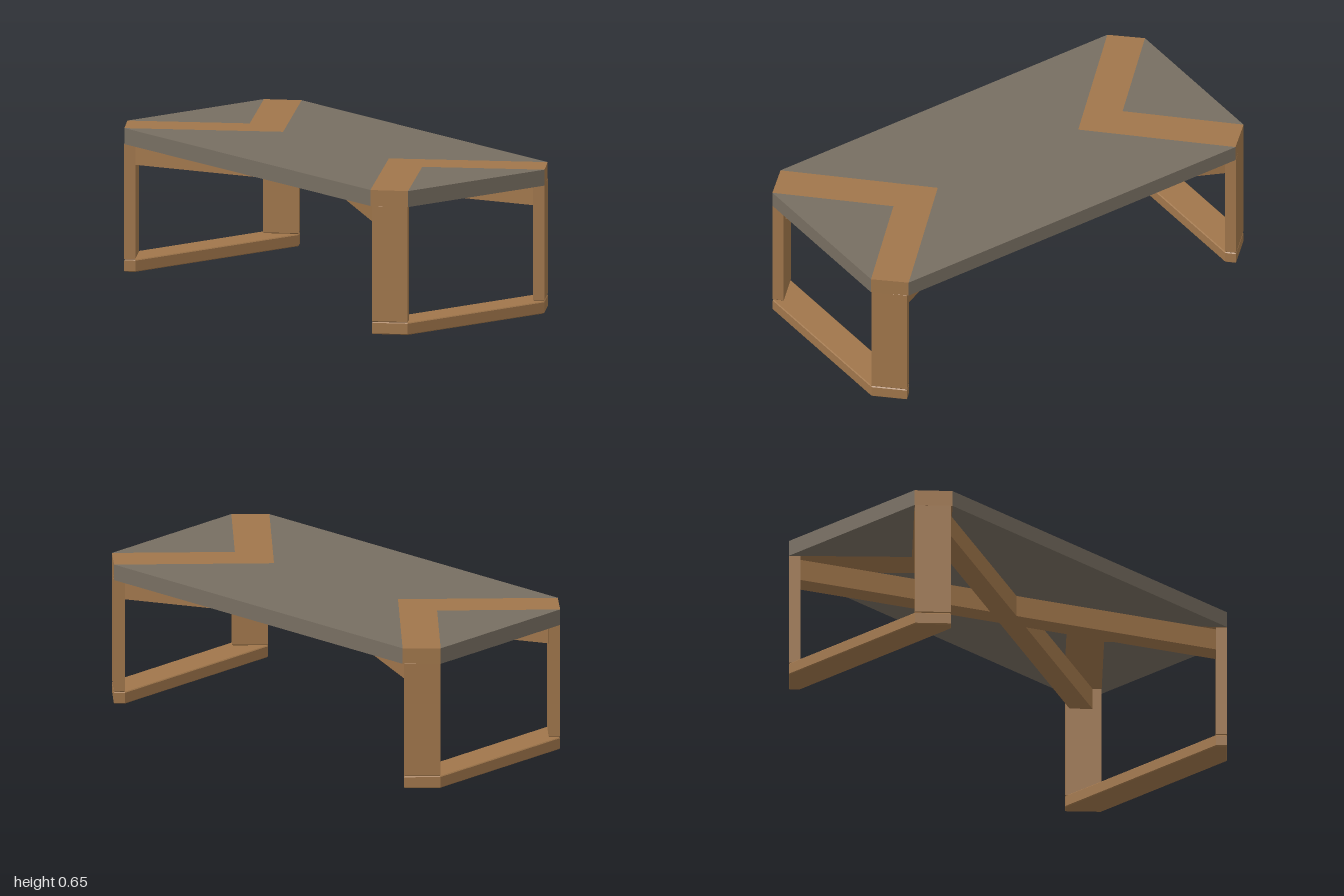
import * as THREE from 'three';

const wood = new THREE.MeshStandardMaterial({ color: 0xa0764b });
wood.name = 'oak wood';
const stone = new THREE.MeshStandardMaterial({ color: 0x776e61 });
stone.name = 'grey stone';

// Upright prism from a plan outline of [x, z] points, between two heights.
function prism(name, outline, y0, y1, material, bevel = 0) {
  const shape = new THREE.Shape(outline.map(([x, z]) => new THREE.Vector2(x, z)));
  const geometry = new THREE.ExtrudeGeometry(shape, {
    depth: y1 - y0 - 2 * bevel,
    bevelEnabled: bevel > 0,
    bevelSize: bevel, bevelThickness: bevel, bevelOffset: -bevel, bevelSegments: 1,
  });
  geometry.rotateX(Math.PI / 2).translate(0, y1 - bevel, 0);
  const mesh = new THREE.Mesh(geometry, material);
  mesh.name = name;
  return mesh;
}

export function createModel() {
  const table = new THREE.Group();
  table.name = 'table';
  const TOP = 0.65, UNDER = 0.578, FOOT = 0.055;

  // Main panel, notched at each end by the inlays
  table.add(prism('mainPanel', [
    [0.5, -0.877], [0.5, 0.877], [0, 0.377], [-0.5, 0.877], [-0.5, -0.877], [0, -0.377],
  ], UNDER, TOP, stone));

  for (const s of [1, -1]) {
    const end = s > 0 ? 'front' : 'back';

    // V-shaped inlay and the triangular panel outside it
    table.add(prism(end + 'Inlay', [
      [0.5, 0.877 * s], [0.385, s], [0, 0.615 * s], [-0.385, s], [-0.5, 0.877 * s], [0, 0.377 * s],
    ], UNDER, TOP, wood));
    table.add(prism(end + 'Panel', [[0.385, s], [-0.385, s], [0, 0.615 * s]], UNDER, TOP, stone));

    // Floor rail with clipped corners
    table.add(prism(end + 'FloorRail', [
      [0.385, 0.998 * s], [0.496, 0.883 * s], [0.461, 0.848 * s],
      [-0.461, 0.848 * s], [-0.496, 0.883 * s], [-0.385, 0.998 * s],
    ], 0, FOOT, wood, 0.004));

    // Diagonal board legs
    for (const m of [1, -1]) {
      table.add(prism(end + (m > 0 ? 'Left' : 'Right') + 'Leg', [
        [0.385 * m, 0.998 * s], [0.496 * m, 0.883 * s], [0.461 * m, 0.848 * s], [0.35 * m, 0.963 * s],
      ], FOOT, UNDER + 0.004, wood, 0.004));
    }

    // Crossing brace from corner to corner
    const x = 0.42, z = 0.915;
    const brace = new THREE.Mesh(new THREE.BoxGeometry(0.095, 0.098, 2 * Math.hypot(x, z)), wood);
    brace.name = s > 0 ? 'braceOne' : 'braceTwo';
    brace.position.y = 0.529;
    brace.rotation.y = s * Math.atan2(x, z);
    table.add(brace);
  }
  return table;
}
